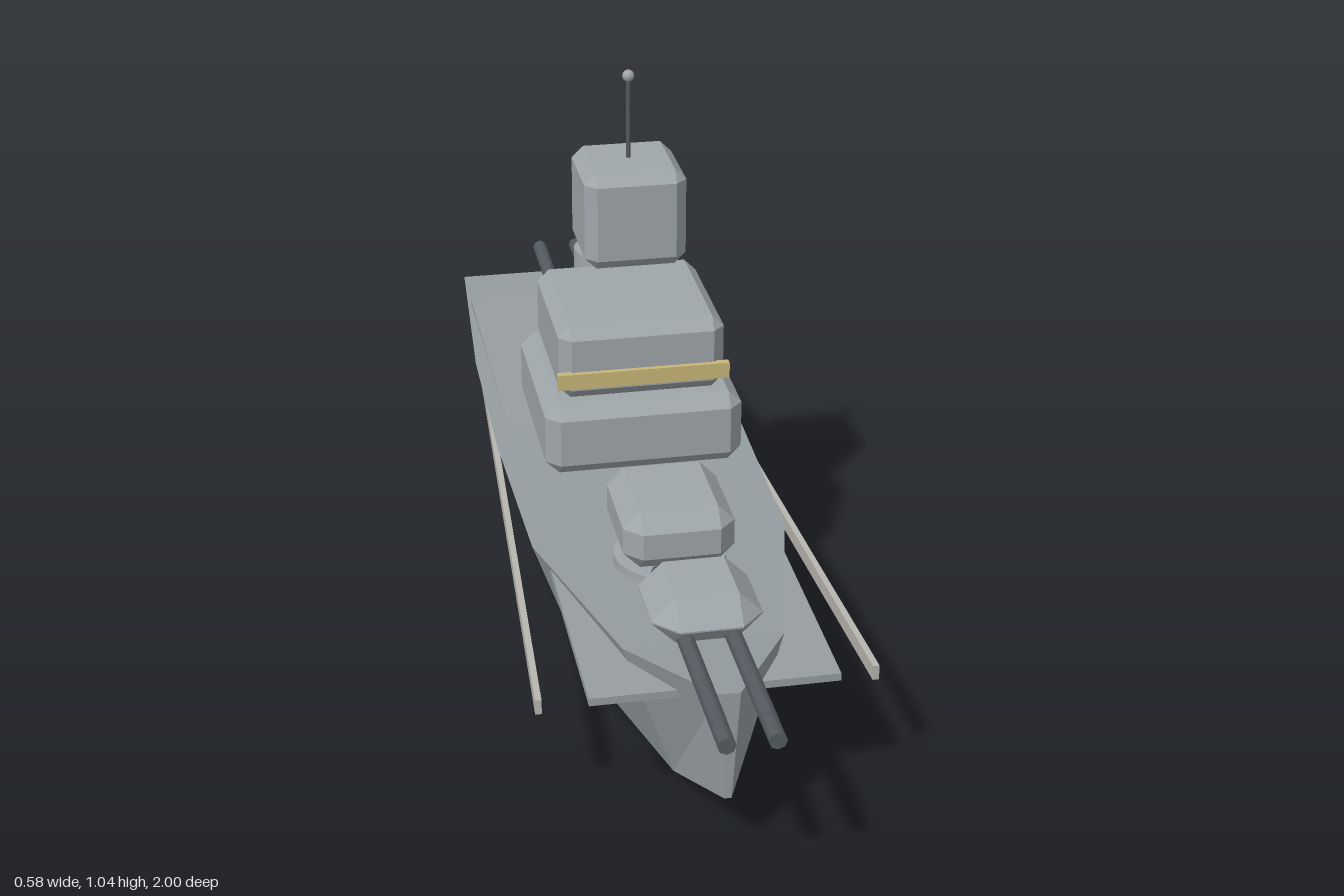
import * as THREE from 'three';
import { ConvexGeometry } from 'three/addons/geometries/ConvexGeometry.js';

const mat = (name, color) => {
  const m = new THREE.MeshStandardMaterial({ color });
  m.name = name;
  return m;
};

// Box with every edge cut by a flat bevel
function bevelBox(w, h, d, b) {
  const pts = [];
  for (const sx of [-1, 1]) for (const sy of [-1, 1]) for (const sz of [-1, 1]) {
    const x = w / 2, y = h / 2, z = d / 2;
    pts.push(
      new THREE.Vector3(sx * x, sy * (y - b), sz * (z - b)),
      new THREE.Vector3(sx * (x - b), sy * y, sz * (z - b)),
      new THREE.Vector3(sx * (x - b), sy * (y - b), sz * z));
  }
  return new ConvexGeometry(pts);
}

// Hull lofted through trapezoid sections: z, deck half-width, deck y, keel half-width, keel y
function hullGeometry(sections) {
  const rings = sections.map(([z, wt, yt, wb, yb]) =>
    [[-wt, yt, z], [wt, yt, z], [wb, yb, z], [-wb, yb, z]]);
  const out = [];
  const tri = (a, b, c) => out.push(...a, ...b, ...c);
  for (let i = 0; i < rings.length - 1; i++) {
    const a = rings[i], b = rings[i + 1];
    for (let j = 0; j < 4; j++) {
      const k = (j + 1) % 4;
      tri(a[j], b[j], b[k]);
      tri(a[j], b[k], a[k]);
    }
  }
  const s = rings[0], e = rings[rings.length - 1];
  tri(s[0], s[1], s[2]); tri(s[0], s[2], s[3]);
  tri(e[0], e[3], e[2]); tri(e[0], e[2], e[1]);
  const g = new THREE.BufferGeometry();
  g.setAttribute('position', new THREE.Float32BufferAttribute(out, 3));
  g.computeVertexNormals();
  return g;
}

export function createModel() {
  const ship = new THREE.Group();
  ship.name = 'warship';

  const hullGrey = mat('hull grey', 0x969da1);
  const upperGrey = mat('superstructure grey', 0x9fa6aa);
  const gunGrey = mat('gun metal', 0x555b60);
  const railGrey = mat('rail pale grey', 0xb8b5b0);
  const brass = mat('bridge window yellow', 0xc8b778);

  const add = (name, geo, material, x, y, z, parent = ship) => {
    const m = new THREE.Mesh(geo, material);
    m.name = name;
    m.position.set(x, y, z);
    parent.add(m);
    return m;
  };

  // Hull and deck plate
  add('hull', hullGeometry([
    [-1.0, 0.207, 0.25, 0.133, 0.027],
    [-0.53, 0.238, 0.26, 0.157, 0],
    [-0.15, 0.243, 0.265, 0.16, 0],
    [0.25, 0.232, 0.269, 0.137, 0.004],
    [0.64, 0.137, 0.288, 0.05, 0.034],
    [0.84, 0.018, 0.315, 0.006, 0.114],
  ]), hullGrey, 0, 0, 0);
  add('deckPlate', new THREE.BoxGeometry(0.42, 0.014, 1.58), hullGrey, 0, 0.257, -0.05);

  // Side rails, splayed out toward the bow
  for (const s of [-1, 1]) {
    const rail = add(s > 0 ? 'leftRail' : 'rightRail',
      new THREE.BoxGeometry(0.011, 0.027, 1.47), railGrey, s * 0.247, 0.222, -0.047);
    rail.rotation.y = s * 0.052;
  }

  // Superstructure blocks
  add('lowerBridge', bevelBox(0.366, 0.14, 0.366, 0.025), upperGrey, 0, 0.4, -0.0625);
  add('upperBridge', bevelBox(0.306, 0.143, 0.302, 0.022), upperGrey, 0, 0.541, -0.0605);
  add('controlTower', bevelBox(0.186, 0.184, 0.184, 0.021), upperGrey, 0, 0.787, -0.0625);
  add('bridgeWindow', new THREE.BoxGeometry(0.317, 0.03, 0.014), brass, 0, 0.514, 0.093);

  // Funnel and mast
  add('funnel', new THREE.CylinderGeometry(0.06, 0.06, 0.196, 24), upperGrey, 0, 0.493, -0.328);
  add('mast', new THREE.CylinderGeometry(0.004, 0.004, 0.16, 8), gunGrey, 0, 0.955, -0.0625);
  add('mastTip', new THREE.SphereGeometry(0.011, 12, 8), upperGrey, 0, 1.034, -0.0625);

  // Gun turrets with twin barrels, slightly raised toward the muzzle
  const turrets = [
    { name: 'frontTurret', z: 0.605, y: 0.348, size: [0.187, 0.085, 0.2, 0.041], dir: 1, from: 0.51 },
    { name: 'raisedTurret', z: 0.345, y: 0.366, size: [0.196, 0.108, 0.222, 0.03], dir: 1, from: 0.455 },
    { name: 'rearTurret', z: -0.574, y: 0.348, size: [0.187, 0.085, 0.2, 0.041], dir: -1, from: -0.468 },
  ];
  const len = 0.49, tilt = 0.025;
  for (const t of turrets) {
    const group = new THREE.Group();
    group.name = t.name;
    ship.add(group);
    add('gunHouse', bevelBox(...t.size), upperGrey, 0, t.y, t.z, group);
    for (const x of [-0.04, 0.04]) {
      const barrel = add('barrel', new THREE.CylinderGeometry(0.015, 0.015, len, 8), gunGrey,
        x, 0.323, t.from + t.dir * len / 2, group);
      barrel.rotation.x = t.dir * (Math.PI / 2 - tilt);
    }
  }
  add('turretRing', new THREE.CylinderGeometry(0.1, 0.1, 0.034, 24), upperGrey, 0, 0.275, 0.345);

  return ship;
}
